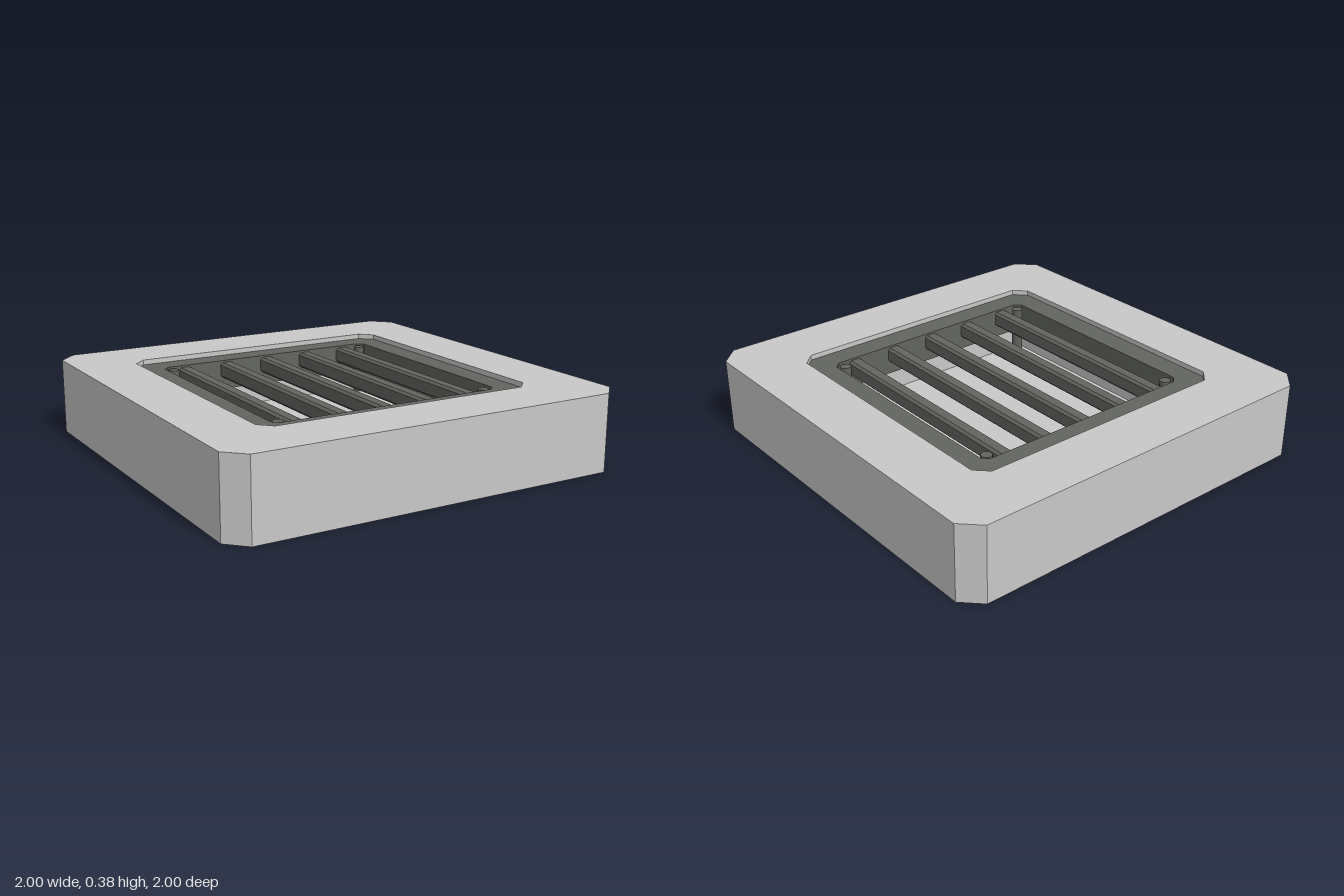
import * as THREE from 'three';

// Square outline with cut corners
function chamferedSquare(half, cut, PathType = THREE.Shape) {
  const a = half, b = half - cut;
  const points = [[b, -a], [a, -b], [a, b], [b, a], [-b, a], [-a, b], [-a, -b], [-b, -a]];
  return new PathType(points.map(([x, y]) => new THREE.Vector2(x, y)));
}

// Upright slab from y0 to y1, optionally with a square opening
function slab(half, cut, y0, y1, hole) {
  const shape = chamferedSquare(half, cut);
  if (hole) shape.holes.push(chamferedSquare(hole[0], hole[1], THREE.Path));
  const geometry = new THREE.ExtrudeGeometry(shape, { depth: y1 - y0, bevelEnabled: false });
  return geometry.rotateX(-Math.PI / 2).translate(0, y0, 0);
}

export function createModel() {
  const model = new THREE.Group();
  model.name = 'floorGrate';

  const stone = new THREE.MeshStandardMaterial({ color: 0xc8c8c8 });
  stone.name = 'pale stone';
  const iron = new THREE.MeshStandardMaterial({ color: 0x62645f });
  iron.name = 'dark iron';

  function add(name, geometry, material, parent = model) {
    const mesh = new THREE.Mesh(geometry, material);
    mesh.name = name;
    parent.add(mesh);
    return mesh;
  }

  const height = 0.375, floorY = 0.1, frameTop = 0.35, frameBottom = 0.2;

  // Stone block: solid base, walls around the pit and a rim around the frame
  const block = new THREE.Group();
  block.name = 'stoneBlock';
  model.add(block);
  add('base', slab(1, 0.09, 0, floorY), stone, block);
  add('pitWalls', slab(1, 0.09, floorY, frameBottom, [0.6, 0.03]), stone, block);
  add('rim', slab(1, 0.09, frameBottom, height, [0.705, 0.06]), stone, block);

  // Iron frame set just below the rim
  add('frame', slab(0.705, 0.06, frameBottom, frameTop, [0.59, 0.03]), iron);

  // Bars with bevelled edges, running front to back
  const w = 0.035, h = 0.04, c = 0.012;
  const profile = new THREE.Shape([
    [w - c, -h], [w, c - h], [w, h - c], [w - c, h],
    [c - w, h], [-w, h - c], [-w, c - h], [c - w, -h],
  ].map(([x, y]) => new THREE.Vector2(x, y)));
  const barGeometry = new THREE.ExtrudeGeometry(profile, { depth: 1.2, bevelEnabled: false });
  barGeometry.translate(0, 0, -0.6);
  const bars = new THREE.Group();
  bars.name = 'bars';
  model.add(bars);
  for (let i = -2; i <= 2; i++) {
    add('bar', barGeometry, iron, bars).position.set(i * 0.232, 0.3, 0);
  }

  // Corner pins standing in the pit
  const pinTop = 0.345;
  const pinGeometry = new THREE.CylinderGeometry(0.027, 0.027, pinTop - floorY, 12);
  for (const x of [-0.547, 0.547]) {
    for (const z of [-0.547, 0.547]) {
      add('cornerPin', pinGeometry, iron).position.set(x, (pinTop + floorY) / 2, z);
    }
  }

  return model;
}
